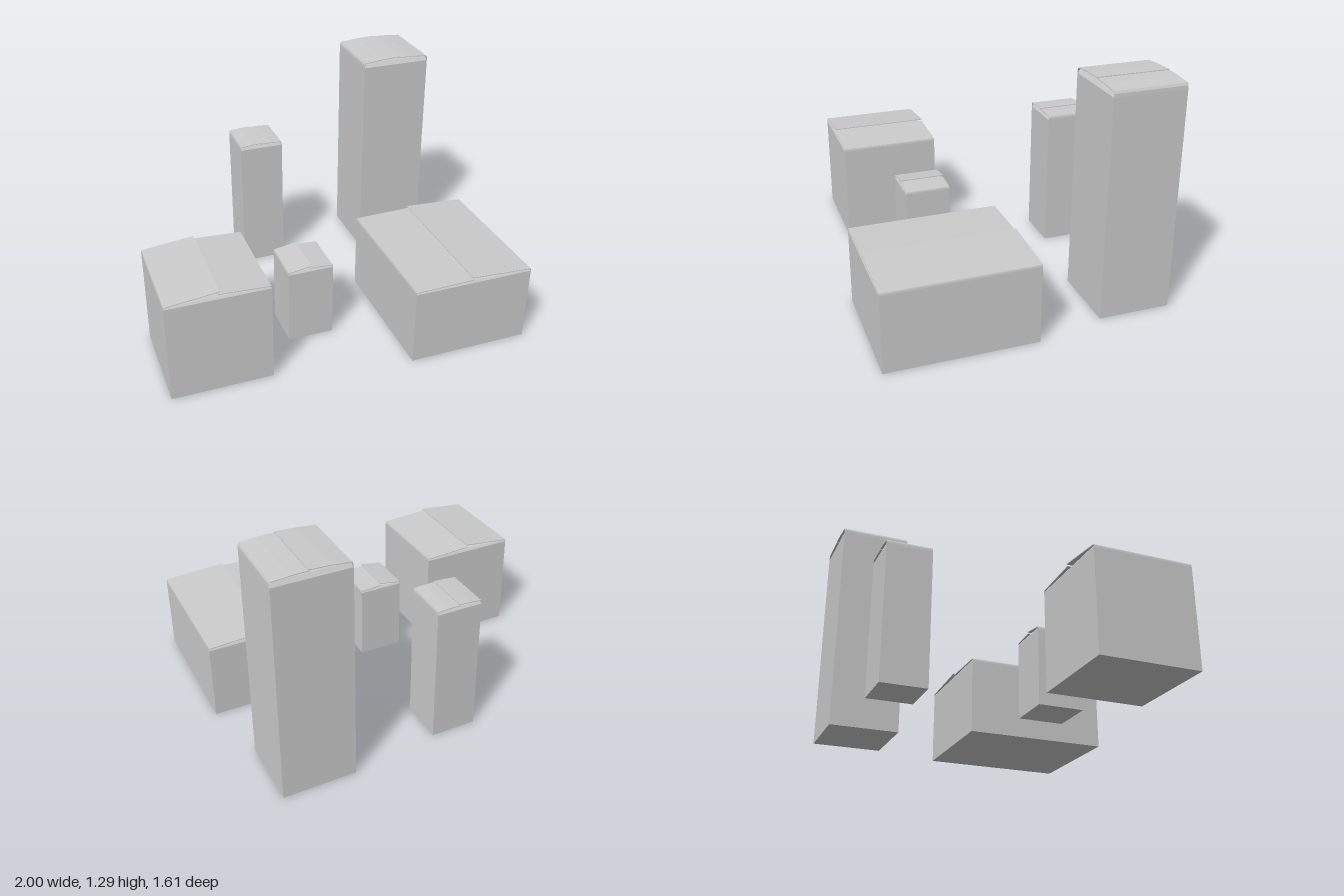
import * as THREE from 'three';

const mat = new THREE.MeshStandardMaterial({ color: 0xcccccc, flatShading: true, side: THREE.DoubleSide });
const T = 0.004; // cardboard thickness

// Bent cardboard sheet: a polyline thickened downwards and extruded by width, centred on z
function sheet(points, width) {
  const outline = [...points, ...points.slice().reverse().map(([x, y]) => [x, y - T])];
  const shape = new THREE.Shape(outline.map(([x, y]) => new THREE.Vector2(x, y)));
  return new THREE.ExtrudeGeometry(shape, { depth: width, bevelEnabled: false }).translate(0, 0, -width / 2);
}

// x, z: extents; wall: wall height; lip: inner flap height; edge: outer flap fold height;
// seam: x of the lid seam; left/right: heights of the -x and +x flap ends at the seam
const boxes = [
  { name: 'wideBox', x: [0.31, 1.0], z: [-0.02, 0.805], wall: 0.435, lip: 0.446, edge: 0.45, seam: 0.645, left: 0.456, right: 0.47, bulge: 0 },
  { name: 'cubeBox', x: [-1.0, -0.44], z: [0.1, 0.66], wall: 0.565, lip: 0.576, edge: 0.58, seam: -0.715, left: 0.61, right: 0.595, bulge: 0 },
  { name: 'smallBox', x: [-0.265, -0.005], z: [0.14, 0.4], wall: 0.435, lip: 0.446, edge: 0.45, seam: -0.135, left: 0.47, right: 0.458, bulge: 0 },
  { name: 'slimTallBox', x: [-0.265, -0.005], z: [-0.735, -0.475], wall: 0.785, lip: 0.8, edge: 0.807, seam: -0.135, left: 0.816, right: 0.811, bulge: 0.002 },
  { name: 'tallBox', x: [0.5, 0.91], z: [-0.805, -0.4], wall: 1.24, lip: 1.264, edge: 1.271, seam: 0.72, left: 1.286, right: 1.281, bulge: 0.003 },
];

function makeBox(b) {
  const group = new THREE.Group();
  group.name = b.name;
  const add = (name, geo) => {
    const mesh = new THREE.Mesh(geo, mat);
    mesh.name = name;
    group.add(mesh);
    return mesh;
  };
  const [x0, x1] = b.x, [z0, z1] = b.z;
  const w = x1 - x0, d = z1 - z0, cx = (x0 + x1) / 2, cz = (z0 + z1) / 2;

  add('walls', new THREE.BoxGeometry(w, b.wall, d)).position.set(cx, b.wall / 2, cz);

  // Inner flaps, folded in from front and back
  const inset = (b.lip - b.wall) * 0.6;
  for (const side of [1, -1]) {
    const geo = sheet([[-d / 2, b.wall], [-d / 2 + inset, b.lip], [-0.01, b.lip]], w - 0.012);
    const flap = add(side > 0 ? 'frontInnerFlap' : 'backInnerFlap', geo);
    flap.rotation.y = side * Math.PI / 2;
    flap.position.set(cx, 0, cz);
  }

  // Outer flaps, rising from the sides and meeting at the seam
  for (const [name, from, dir, top] of [['rightOuterFlap', x0, 1, b.left], ['leftOuterFlap', x1, -1, b.right]]) {
    const end = b.seam + dir * 0.004;
    const fold = from + dir * inset * 0.5;
    const geo = sheet([
      [from, b.wall],
      [from + dir * 0.001, b.wall + (b.edge - b.wall) * 0.6],
      [fold, b.edge],
      [(fold + end) / 2, (b.edge + top) / 2 + b.bulge],
      [end, top],
    ], d);
    add(name, geo).position.z = cz;
  }
  return group;
}

export function createModel() {
  const model = new THREE.Group();
  model.name = 'cardboardBoxes';
  for (const b of boxes) model.add(makeBox(b));
  return model;
}
